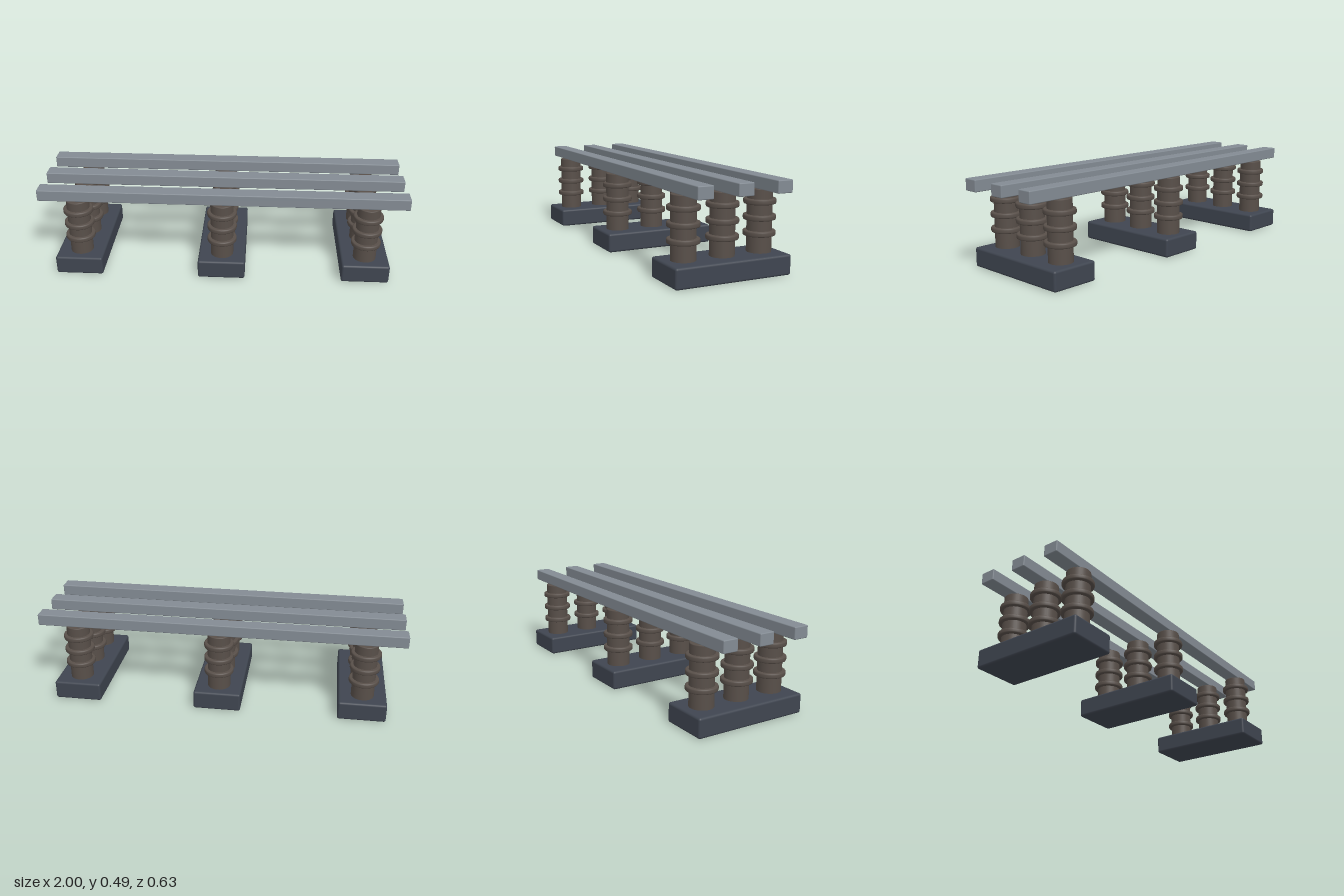
import * as THREE from 'three';
import { RoundedBoxGeometry } from 'three/addons/geometries/RoundedBoxGeometry.js';

const material = (name, color) => {
  const m = new THREE.MeshStandardMaterial({ color });
  m.name = name;
  return m;
};

// Solid of revolution with bevelled rims, standing on y = 0
function disc(radius, height, bevel) {
  const points = [
    [0, 0], [radius - bevel, 0], [radius - bevel * 0.3, bevel * 0.3], [radius, bevel],
    [radius, height - bevel], [radius - bevel * 0.3, height - bevel * 0.3],
    [radius - bevel, height], [0, height],
  ].map(([x, y]) => new THREE.Vector2(x, y));
  return new THREE.LatheGeometry(points, 32);
}

export function createModel() {
  const model = new THREE.Group();
  model.name = 'busbarAssembly';

  const baseMaterial = material('dark slate', 0x3f4550);
  const insulatorMaterial = material('brown ceramic', 0x584f49);
  const barMaterial = material('grey metal', 0x838b93);

  const baseGeometry = new RoundedBoxGeometry(0.26, 0.104, 0.632, 3, 0.012);
  const columnGeometry = disc(0.0625, 0.322, 0.004);
  const ringGeometry = disc(0.081, 0.027, 0.007);
  const barGeometry = new RoundedBoxGeometry(2, 0.063, 0.082, 2, 0.005);

  function add(parent, name, geometry, mat, x, y, z) {
    const mesh = new THREE.Mesh(geometry, mat);
    mesh.name = name;
    mesh.position.set(x, y, z);
    parent.add(mesh);
  }

  const rows = [-0.211, 0, 0.211];

  // Three footings, each carrying a row of ribbed insulators
  for (const x of [-0.79, 0, 0.79]) {
    const support = new THREE.Group();
    support.name = 'support';
    support.position.x = x;
    add(support, 'base', baseGeometry, baseMaterial, 0, 0.052, 0);
    for (const z of rows) {
      const insulator = new THREE.Group();
      insulator.name = 'insulator';
      insulator.position.z = z;
      add(insulator, 'column', columnGeometry, insulatorMaterial, 0, 0.1, 0);
      for (const y of [0.186, 0.265, 0.344]) {
        add(insulator, 'ring', ringGeometry, insulatorMaterial, 0, y, 0);
      }
      support.add(insulator);
    }
    model.add(support);
  }

  // Long bars resting on the insulators
  for (const z of rows) add(model, 'bar', barGeometry, barMaterial, 0, 0.4535, z);

  return model;
}
